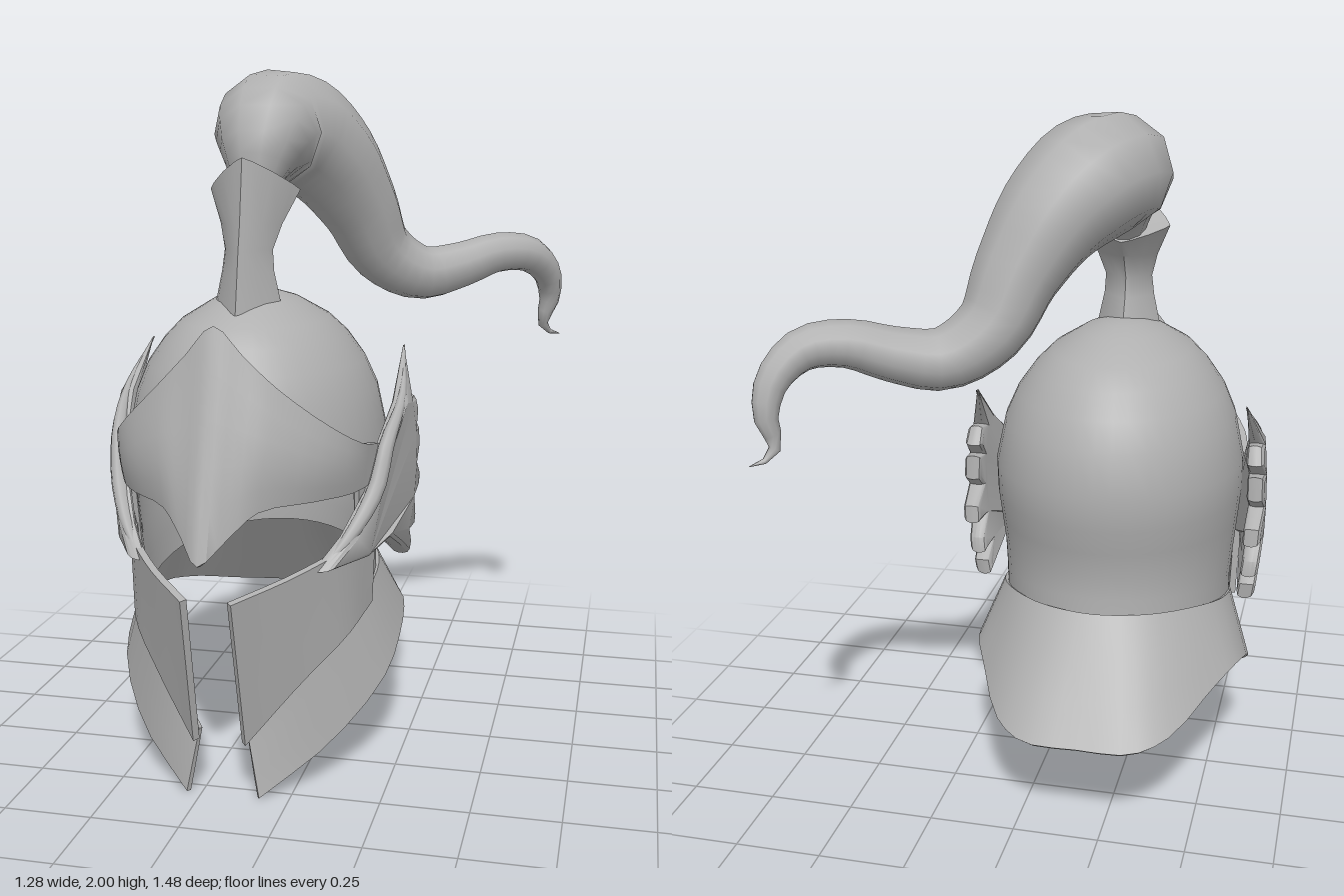
import * as THREE from 'three';
import { toCreasedNormals } from 'three/addons/utils/BufferGeometryUtils.js';

const steel = new THREE.MeshStandardMaterial({ color: 0xb0b0b0, side: THREE.DoubleSide });
steel.name = 'steel grey';

const V = (p) => new THREE.Vector3(...p);
const lerp = THREE.MathUtils.lerp;

function part(name, geometry, crease = 0.7) {
  const mesh = new THREE.Mesh(toCreasedNormals(geometry, crease), steel);
  mesh.name = name;
  return mesh;
}

// Thick sheet: a grid fn(u, v) -> Vector3, a copy offset inwards, and a rim joining both
function plate(fn, nu, nv, t) {
  const pos = [], index = [], at = (i, j) => i * (nv + 1) + j;
  for (let i = 0; i <= nu; i++)
    for (let j = 0; j <= nv; j++) pos.push(...fn(i / nu, j / nv, j).toArray());
  for (let i = 0; i < nu; i++)
    for (let j = 0; j < nv; j++) {
      const a = at(i, j), b = at(i + 1, j), c = at(i, j + 1), d = at(i + 1, j + 1);
      index.push(a, b, c, b, d, c);
    }
  const outer = new THREE.BufferGeometry();
  outer.setAttribute('position', new THREE.Float32BufferAttribute(pos, 3));
  outer.setIndex(index);
  outer.computeVertexNormals();
  const n = outer.attributes.normal.array, N = pos.length / 3;
  const all = pos.concat(pos.map((p, k) => p - n[k] * t));
  const faces = index.slice();
  for (let k = 0; k < index.length; k += 3)
    faces.push(index[k] + N, index[k + 2] + N, index[k + 1] + N);
  const loop = [];
  for (let i = 0; i < nu; i++) loop.push(at(i, 0));
  for (let j = 0; j < nv; j++) loop.push(at(nu, j));
  for (let i = nu; i > 0; i--) loop.push(at(i, nv));
  for (let j = nv; j > 0; j--) loop.push(at(0, j));
  loop.forEach((p, k) => {
    const q = loop[(k + 1) % loop.length];
    faces.push(q, p, p + N, q, p + N, q + N);
  });
  const g = new THREE.BufferGeometry();
  g.setAttribute('position', new THREE.Float32BufferAttribute(all, 3));
  g.setIndex(faces);
  return g;
}

// Sheet stretched between an upper and a lower curve, optionally bulging forward on both sides
function ruled(top, bottom, nu, nv, t, bulge = 0) {
  const a = new THREE.CatmullRomCurve3(top.map(V)), b = new THREE.CatmullRomCurve3(bottom.map(V));
  return plate((u, v) => {
    const p = a.getPoint(u).lerp(b.getPoint(u), v);
    p.z += bulge * Math.sin(Math.PI * v) * Math.sin(2 * Math.PI * u) ** 2;
    return p;
  }, nu, nv, t);
}

// Completes a half curve (centre to left side) with its mirror image
const wrap = (half) => [...half.slice(1).reverse().map(([x, y, z]) => [-x, y, z]), ...half];

// Skull rings: y, front z, back z, half width
const rings = [
  [1.385, 0.14, 0.14, 0], [1.375, 0.23, 0.06, 0.06], [1.355, 0.31, -0.02, 0.12], [1.3, 0.42, -0.14, 0.21],
  [1.25, 0.47, -0.205, 0.26], [1.18, 0.515, -0.255, 0.31], [1.1, 0.545, -0.295, 0.345],
  [0.97, 0.57, -0.32, 0.373], [0.87, 0.575, -0.308, 0.372], [0.7, 0.57, -0.272, 0.355],
  [0.6, 0.56, -0.283, 0.346], [0.4, 0.55, -0.283, 0.345],
];
function ringAt(y) {
  let k = 0;
  while (k < rings.length - 2 && rings[k + 1][0] > y) k++;
  const f = (y - rings[k][0]) / (rings[k + 1][0] - rings[k][0]);
  return rings[k].map((r, m) => lerp(r, rings[k + 1][m], f));
}
function skull() {
  return plate((u, v, j) => {
    const a = (u * 2 - 1) * Math.PI;
    // the wall runs down to the neck guard, but stops at the face opening
    const low = Math.abs(a) > 1.9 ? 0.86 : 0.58 - 0.08 * (a / 1.57) ** 2;
    const [y, zf, zb, rx] = j <= 8 ? rings[j] : ringAt(lerp(0.87, low, (j - 8) / 4));
    return new THREE.Vector3(rx * Math.sin(a), y, (zf + zb) / 2 - ((zf - zb) / 2) * Math.cos(a));
  }, 44, 12, 0.015);
}

// Diamond-shaped plume socket with a slanted, closed mouth: y, front z, widest z, back z, half width
const socketRows = [
  [1.655, 0.15, 0.15, 0.15, 0], [1.62, 0.28, 0.145, 0.08, 0.132], [1.57, 0.312, 0.19, 0.125, 0.09],
  [1.5, 0.33, 0.22, 0.165, 0.07], [1.44, 0.342, 0.23, 0.155, 0.076], [1.33, 0.365, 0.23, 0.11, 0.1],
];
function socket() {
  return plate((u, v, j) => {
    const a = (u * 2 - 1) * Math.PI, [y, zf, zm, zb, rx] = socketRows[j];
    const s = Math.sin(a), c = Math.cos(a);
    const z = zm + (c < 0 ? zf - zm : zb - zm) * Math.abs(c) ** 1.7;
    const lift = j === 1 ? (0.135 * (z - zb)) / (zf - zb) : 0;
    return new THREE.Vector3(rx * Math.sign(s) * Math.abs(s) ** 1.7, y + lift, z);
  }, 16, 5, 0.01);
}

// Plume: a swept tube of changing radius: x, y, z, radius
const plumePath = [
  [-0.19, 1.61, 0.15, 0.04], [-0.19, 1.7, 0.12, 0.08], [-0.187, 1.79, 0.065, 0.138], [-0.183, 1.835, -0.03, 0.168],
  [-0.13, 1.82, -0.12, 0.172], [-0.05, 1.74, -0.205, 0.154], [0.027, 1.6, -0.285, 0.124], [0.087, 1.455, -0.35, 0.102],
  [0.2, 1.38, -0.415, 0.087], [0.32, 1.4, -0.475, 0.075], [0.43, 1.437, -0.53, 0.065], [0.53, 1.43, -0.59, 0.058],
  [0.588, 1.36, -0.66, 0.046], [0.595, 1.27, -0.695, 0.033], [0.575, 1.2, -0.69, 0.019],
  [0.59, 1.165, -0.71, 0.01], [0.63, 1.15, -0.74, 0.001],
];
function sweep(path, segments, sides) {
  const curve = new THREE.CatmullRomCurve3(path.map((p) => V(p.slice(0, 3))));
  const radius = new THREE.CatmullRomCurve3(path.map((p) => new THREE.Vector3(p[3], 0, 0)));
  const g = new THREE.TubeGeometry(curve, segments, 1, sides);
  const p = g.attributes.position, n = g.attributes.normal, q = new THREE.Vector3();
  for (let i = 0; i < p.count; i++) {
    const t = curve.getUtoTmapping(Math.floor(i / (sides + 1)) / segments);
    const c = curve.getPoint(t), r = radius.getPoint(t).x;
    q.fromBufferAttribute(n, i).multiplyScalar(r).add(c);
    p.setXYZ(i, q.x, q.y, q.z);
  }
  return g;
}

// Side wing: feathered outline (z, y), bent round the skull and thinned towards the tip
const wingOutline = [
  [-0.07, 1.195], [0.11, 1.065], [0.24, 0.96], [0.3, 0.84], [0.39, 0.73], [0.47, 0.65], [0.32, 0.655], [0.22, 0.685],
  [0.14, 0.64], [0.005, 0.575], [0, 0.62], [0.06, 0.665], [-0.02, 0.655], [-0.015, 0.7], [0.035, 0.76],
  [-0.065, 0.77], [-0.06, 0.82], [0.015, 0.865], [-0.035, 0.9], [-0.03, 0.97], [0.02, 0.965],
  [-0.04, 1.01], [-0.01, 1.06], [0.035, 1.055],
];
const wingX = (y, z) => 0.43 - 0.77 * (z - 0.02) ** 2 - 0.025 * ((y - 0.87) / 0.3) ** 2;
function wing() {
  const shape = new THREE.Shape(wingOutline.map(([z, y]) => new THREE.Vector2(-z, y)));
  const g = new THREE.ExtrudeGeometry(shape, {
    depth: 0.012, bevelThickness: 0.02, bevelSize: 0.014, bevelOffset: -0.012, bevelSegments: 2,
  });
  g.translate(0, 0, -0.006).rotateY(Math.PI / 2);
  const p = g.attributes.position;
  for (let i = 0; i < p.count; i++) {
    const y = p.getY(i), thin = THREE.MathUtils.clamp((1.2 - y) / 0.16, 0.1, 1);
    p.setX(i, p.getX(i) * thin + wingX(y, p.getZ(i)));
  }
  return g;
}
function wingRib() {
  const radii = [0.002, 0.013, 0.023, 0.026, 0.02, 0.004];
  return sweep(wingOutline.slice(0, 6).map(([z, y], i) => [wingX(y, z) + radii[i] * 0.4, y, z - 0.012, radii[i]]), 16, 8);
}

export function createModel() {
  const model = new THREE.Group();
  model.name = 'plumedHelmet';
  const helmet = new THREE.Group();
  helmet.name = 'helmet';
  helmet.position.x = -0.187;
  model.add(helmet);

  helmet.add(part('skull', skull(), 0.9), part('plumeSocket', socket(), 0.7));

  // Flared neck guard, from the right front round the back to the left front
  const neckTop = [
    [0, 0.61, -0.288], [0.1, 0.61, -0.272], [0.185, 0.605, -0.226], [0.277, 0.59, -0.125], [0.337, 0.565, 0],
    [0.352, 0.54, 0.13], [0.328, 0.5, 0.25], [0.21, 0.37, 0.45], [0.07, 0.19, 0.535],
  ];
  const neckRim = [
    [0, 0.3, -0.52], [0.155, 0.3, -0.51], [0.25, 0.32, -0.43], [0.345, 0.38, -0.23], [0.4, 0.4, -0.09],
    [0.42, 0.36, 0.06], [0.4, 0.265, 0.22], [0.28, 0.13, 0.41], [0.105, 0.005, 0.55],
  ];
  helmet.add(part('neckGuard', ruled(wrap(neckTop), wrap(neckRim), 40, 3, 0.015), 0.8));

  // Peaked visor with a pointed nose guard; reversed so that it runs from left to right
  const visorTop = [[0, 1.33, 0.567], [0.08, 1.25, 0.562], [0.165, 1.165, 0.54], [0.28, 1.06, 0.465], [0.355, 0.99, 0.36], [0.38, 0.96, 0.22]];
  const visorLow = [[0, 0.73, 0.742], [0.065, 0.79, 0.68], [0.13, 0.848, 0.62], [0.25, 0.855, 0.51], [0.335, 0.85, 0.37], [0.378, 0.86, 0.22]];
  const visor = ruled(wrap(visorTop).reverse(), wrap(visorLow).reverse(), 30, 5, 0.02, 0.03);
  helmet.add(part('visor', visor, 1.2));

  // Mirrored parts, the cheek listed from the side to the front
  const cheek = ruled(
    [[0.368, 0.71, 0.22], [0.315, 0.69, 0.38], [0.205, 0.65, 0.54], [0.07, 0.61, 0.68]],
    [[0.36, 0.49, 0.22], [0.315, 0.43, 0.36], [0.205, 0.32, 0.48], [0.075, 0.17, 0.575]],
    10, 3, 0.02);
  for (const [side, s] of [['left', 1], ['right', -1]]) {
    const half = new THREE.Group();
    half.name = side + 'Side';
    half.scale.x = s;
    half.add(
      part(side + 'CheekGuard', cheek),
      part(side + 'Wing', wing(), 0.6), part(side + 'WingRib', wingRib(), 1.2));
    helmet.add(half);
  }

  model.add(part('plume', sweep(plumePath, 44, 10), 1.2));
  return model;
}
